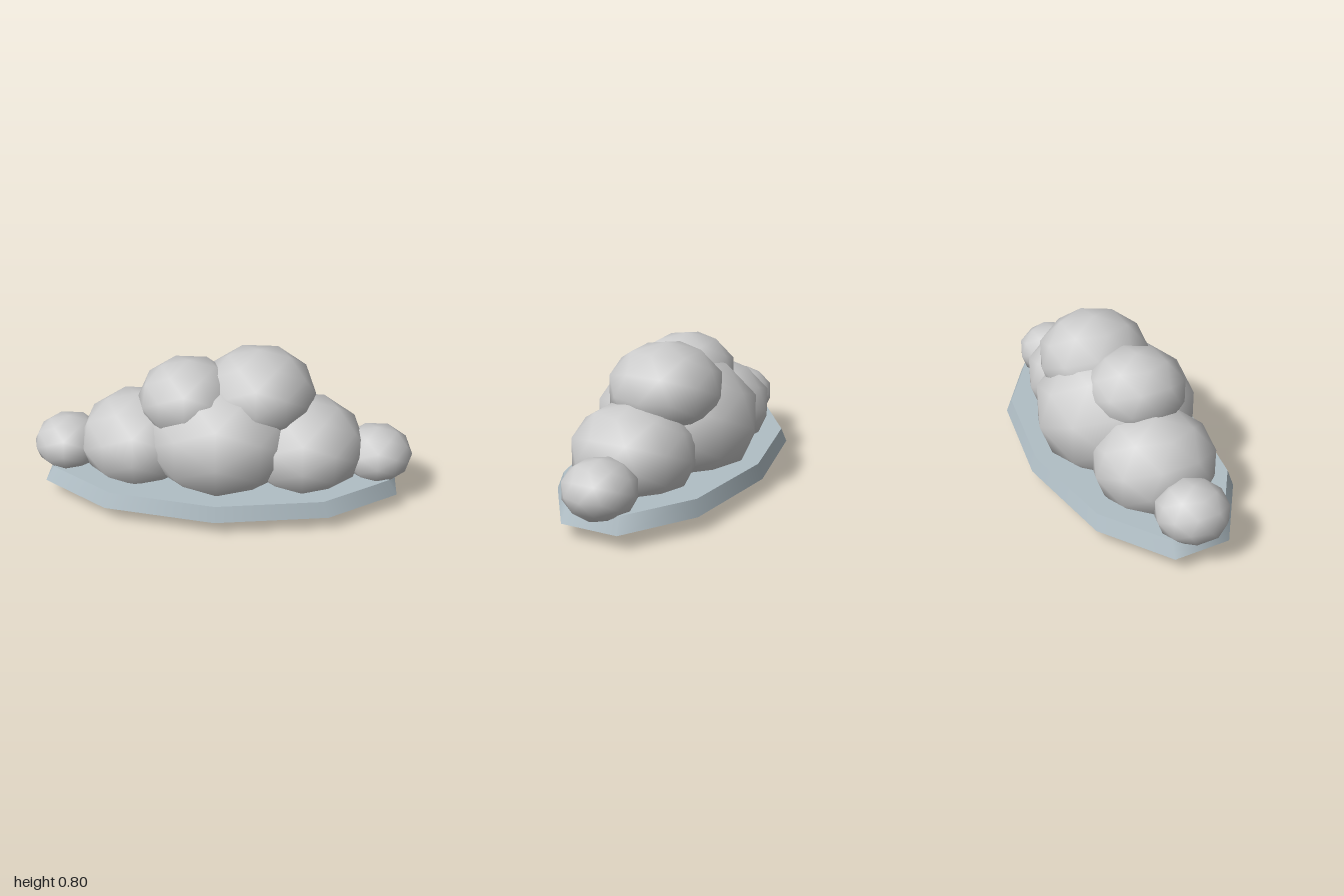
import * as THREE from 'three';

export function createModel() {
  const group = new THREE.Group();
  group.name = 'cloud';
  const puffMaterial = new THREE.MeshStandardMaterial({ color: 0xcccccc });
  const baseMaterial = new THREE.MeshStandardMaterial({ color: 0xb0bec5 });

  // Puffs: low-poly balls with smooth normals, flattened to 80% height
  const puffGeometry = new THREE.IcosahedronGeometry(1, 1);
  const puffs = [
    // name, x, y, z, radius
    ['centerPuff', 0, 0.345, 0, 0.431],
    ['leftPuff', 0.43, 0.292, 0.027, 0.323],
    ['rightPuff', -0.43, 0.283, 0, 0.323],
    ['upperLeftPuff', 0.188, 0.561, -0.027, 0.298],
    ['upperRightPuff', -0.167, 0.545, 0.032, 0.263],
    ['leftEndPuff', 0.812, 0.241, 0, 0.188],
    ['rightEndPuff', -0.812, 0.241, 0, 0.188],
  ];
  for (const [name, x, y, z, r] of puffs) {
    const puff = new THREE.Mesh(puffGeometry, puffMaterial);
    puff.name = name;
    puff.position.set(x, y, z);
    puff.scale.set(r, r * 0.8, r);
    group.add(puff);
  }

  // Base: ten-sided tapered slab, half as deep as it is wide
  const base = new THREE.Mesh(new THREE.CylinderGeometry(0.92, 0.97, 0.08, 10), baseMaterial);
  base.name = 'base';
  base.position.y = 0.119;
  base.scale.z = 0.5;
  group.add(base);

  return group;
}
